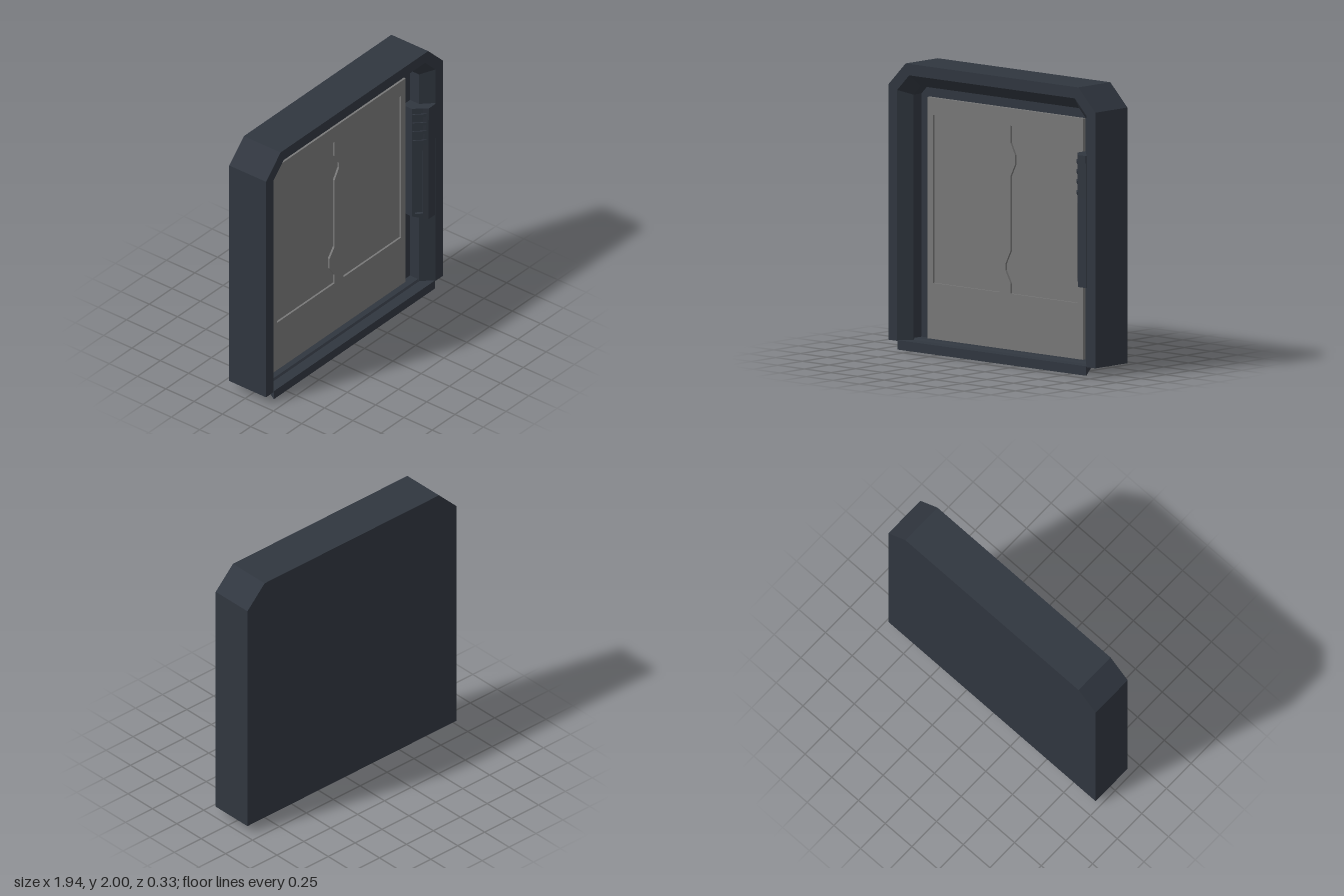
import * as THREE from 'three';

const dark = new THREE.MeshStandardMaterial({ color: 0x30363f, flatShading: true });
const grey = new THREE.MeshStandardMaterial({ color: 0x777777, flatShading: true });

const toShape = pts => new THREE.Shape(pts.map(p => new THREE.Vector2(...p)));

function add(parent, name, geometry, material) {
  const mesh = new THREE.Mesh(geometry, material);
  mesh.name = name;
  parent.add(mesh);
  return mesh;
}

function extrude(shape, z0, z1) {
  return new THREE.ExtrudeGeometry(shape, { depth: z1 - z0, bevelEnabled: false }).translate(0, 0, z0);
}

// Joins a row of closed cross-sections and caps both ends
function loft(rings) {
  const pos = [];
  const tri = (...pts) => pts.forEach(p => pos.push(...p));
  const n = rings[0].length;
  for (let i = 0; i < rings.length - 1; i++) {
    const a = rings[i], b = rings[i + 1];
    for (let j = 0; j < n; j++) {
      const k = (j + 1) % n;
      tri(a[j], a[k], b[k]);
      tri(a[j], b[k], b[j]);
    }
  }
  const first = rings[0], last = rings[rings.length - 1];
  for (let j = 1; j < n - 1; j++) {
    tri(first[0], first[j + 1], first[j]);
    tri(last[0], last[j], last[j + 1]);
  }
  const g = new THREE.BufferGeometry();
  g.setAttribute('position', new THREE.Float32BufferAttribute(pos, 3));
  g.computeVertexNormals();
  return g;
}

// Housing outline with chamfered top corners, moved inwards by d
function outline(d) {
  const t = d * Math.tan(Math.PI / 8);
  const left = [[-0.97 + d, 0.06], [-0.97 + d, 1.84 - t], [-0.81 + t, 2 - d]];
  return [...left, ...left.map(([x, y]) => [-x, y]).reverse()];
}

export function createModel() {
  const model = new THREE.Group();
  model.name = 'case';

  // Housing: thick back and a rim with a sloping inner edge, open at the bottom
  add(model, 'backPlate', extrude(toShape(outline(0)), -0.165, 0), dark);
  const rimSection = [[0, 0], [0, 0.16], [0.08, 0.16], [0.16, 0.08], [0.16, 0]];
  const rimRings = outline(0).map((_, i) => rimSection.map(([d, z]) => [...outline(d)[i], z]));
  add(model, 'rim', loft(rimRings), dark);

  // Bottom sill with a wedge-shaped lip, drawn in z and y
  const sillShape = toShape([[0.16, 0], [0.16, 0.066], [0.08, 0.066], [0.07, 0.08], [0, 0.08], [0, 0.06], [0.1, 0.06]]);
  const sill = extrude(sillShape, 0, 1.77).rotateY(-Math.PI / 2).translate(0.885, 0, 0);
  add(model, 'sill', sill, dark);

  // Inner panel with two sunken fields
  const fields = [
    [[-0.68, 0.47], [-0.68, 1.64], [-0.05, 1.64], [-0.05, 1.52], [0, 1.44], [0, 1.4], [-0.05, 1.32],
      [-0.05, 0.77], [-0.105, 0.7], [-0.105, 0.62], [-0.05, 0.54], [-0.05, 0.47]],
    [[0.68, 0.47], [0.68, 1.64], [0.05, 1.64], [0.05, 1.52], [0.09, 1.44], [0.09, 1.37], [0.05, 1.29],
      [0.05, 0.77], [0, 0.67], [0, 0.63], [0.05, 0.54], [0.05, 0.47]],
  ];
  const panelShape = toShape([[-0.73, 0.08], [0.73, 0.08], [0.73, 1.76], [-0.73, 1.76]]);
  add(model, 'panelBase', extrude(panelShape, -0.01, 0.01), grey);
  const coverShape = panelShape.clone();
  coverShape.holes = fields.map(f => new THREE.Path(f.map(p => new THREE.Vector2(...p))));
  add(model, 'panelCover', extrude(coverShape, 0.01, 0.025), grey);

  // Side latch: a sloping block with a long slot, rising slightly at its top
  const latch = new THREE.Group();
  latch.name = 'latch';
  model.add(latch);
  const section = (y, groove, lift, slant = 0) => [
    [0.73, 0], [0.73, 0.08], [0.745, 0.095], [0.745 + groove, 0.095 - groove],
    [0.785 + groove, 0.135 - groove], [0.785, 0.135], [0.81, 0.16 + lift], [0.886, 0.16 + lift], [0.886, 0],
  ].map(([x, z]) => [x, y + slant * Math.max(0, 0.81 - x), z]);
  add(latch, 'latchBody', loft([
    section(0.61, 0, 0.001, 0.4), section(0.66, 0, 0.001), section(0.66, 0.015, 0.001),
    section(1.18, 0.015, 0.001), section(1.18, 0, 0.001), section(1.23, 0, 0.001), section(1.53, 0, 0.007),
  ]), dark);

  // Grip ribs on the sloping face
  for (const y of [1.26, 1.335, 1.405, 1.475]) {
    const rib = add(latch, 'gripRib', new THREE.BoxGeometry(0.095, 0.022, 0.016), dark);
    rib.position.set(0.767, y, 0.117);
    rib.rotation.y = -Math.PI / 4;
  }
  return model;
}
